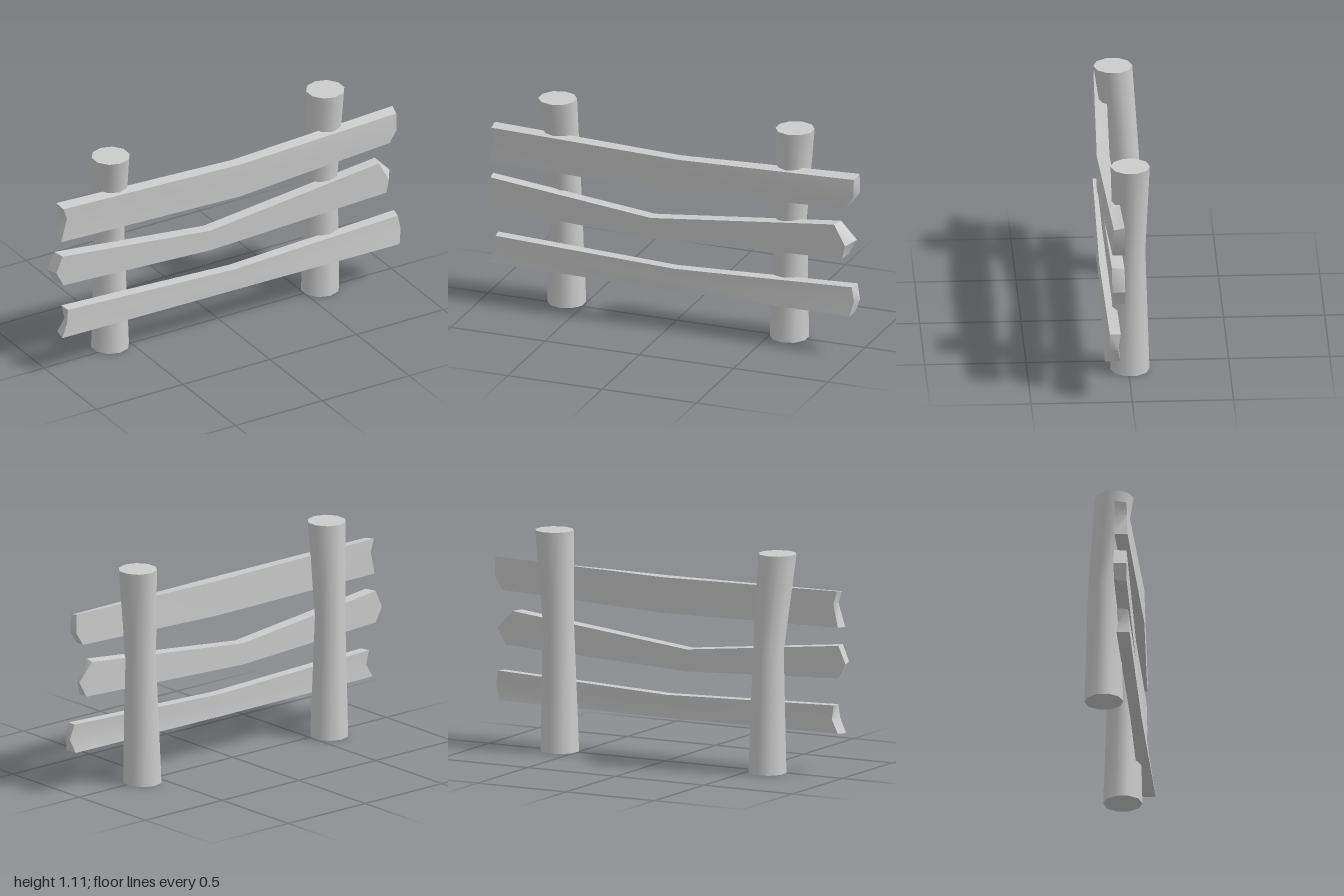
import * as THREE from 'three';
import { toCreasedNormals } from 'three/addons/utils/BufferGeometryUtils.js';

const material = new THREE.MeshStandardMaterial({ color: 0xcccccc });

// Round post through three rings, each [x, y, z, radius]
function post(name, rings) {
  const geometry = new THREE.CylinderGeometry(1, 1, 2, 10, 2);
  const p = geometry.attributes.position;
  for (let i = 0; i < p.count; i++) {
    const [x, y, z, r] = rings[Math.round(p.getY(i)) + 1];
    p.setXYZ(i, x + p.getX(i) * r, y, z + p.getZ(i) * r);
  }
  const mesh = new THREE.Mesh(toCreasedNormals(geometry, 0.75), material);
  mesh.name = name;
  return mesh;
}

// Rough plank lofted through three sections. Each section lists six corners:
// front top, front middle, front bottom, back bottom, back middle, back top
function rail(name, sections) {
  const index = [];
  for (let s = 0; s < 2; s++) {
    for (let j = 0; j < 6; j++) {
      const a = s * 6 + j, b = s * 6 + (j + 1) % 6;
      index.push(a, b, b + 6, a, b + 6, a + 6);
    }
  }
  // Pointed or notched ends
  for (const [a, b, c] of [[0, 1, 4], [0, 4, 5], [1, 2, 3], [1, 3, 4]]) {
    index.push(c, b, a, a + 12, b + 12, c + 12);
  }
  const geometry = new THREE.BufferGeometry();
  geometry.setAttribute('position', new THREE.Float32BufferAttribute(sections.flat(2), 3));
  geometry.setIndex(index);
  const mesh = new THREE.Mesh(toCreasedNormals(geometry, 0.6), material);
  mesh.name = name;
  return mesh;
}

// Plain section across the middle of a rail
function middle(x, top, bottom, front, back) {
  const mid = (top + bottom) / 2;
  return [
    [x, top, front], [x, mid, front], [x, bottom, front],
    [x, bottom, back], [x, mid, back], [x, top, back],
  ];
}

export function createModel() {
  const group = new THREE.Group();
  group.name = 'fence';

  group.add(
    post('leftPost', [
      [0.595, 0, -0.008, 0.097], [0.605, 0.64, -0.005, 0.079], [0.625, 1.105, -0.008, 0.097],
    ]),
    post('rightPost', [
      [-0.597, 0, -0.037, 0.096], [-0.603, 0.61, -0.037, 0.077], [-0.625, 1.092, 0.015, 0.096],
    ]),
  );

  group.add(
    rail('topRail', [
      [
        [-0.945, 0.918, 0.095], [-0.925, 0.86, 0.095], [-0.96, 0.74, 0.1],
        [-0.955, 0.745, 0.035], [-0.93, 0.86, 0.035], [-0.95, 0.927, 0.035],
      ],
      middle(0.05, 0.905, 0.727, 0.128, 0.065),
      [
        [0.975, 0.917, 0.09], [0.975, 0.83, 0.095], [0.935, 0.765, 0.095],
        [0.945, 0.768, 0.035], [0.987, 0.835, 0.035], [0.985, 0.932, 0.037],
      ],
    ]),
    rail('middleRail', [
      [
        [-0.95, 0.654, 0.095], [-0.985, 0.57, 0.095], [-0.945, 0.492, 0.095],
        [-0.96, 0.492, 0.033], [-1, 0.565, 0.033], [-0.96, 0.655, 0.033],
      ],
      middle(-0.1, 0.562, 0.452, 0.095, 0.033),
      [
        [0.872, 0.668, 0.095], [0.93, 0.56, 0.095], [0.915, 0.492, 0.095],
        [0.925, 0.496, 0.033], [0.97, 0.578, 0.033], [0.885, 0.668, 0.033],
      ],
    ]),
    rail('bottomRail', [
      [
        [-0.922, 0.35, 0.1], [-0.93, 0.28, 0.105], [-0.96, 0.207, 0.11],
        [-0.95, 0.212, 0.045], [-0.912, 0.28, 0.05], [-0.927, 0.352, 0.045],
      ],
      middle(0.03, 0.319, 0.203, 0.115, 0.06),
      [
        [0.972, 0.355, 0.11], [0.985, 0.28, 0.115], [0.968, 0.207, 0.134],
        [0.972, 0.209, 0.058], [1, 0.28, 0.07], [0.982, 0.358, 0.056],
      ],
    ]),
  );

  return group;
}
